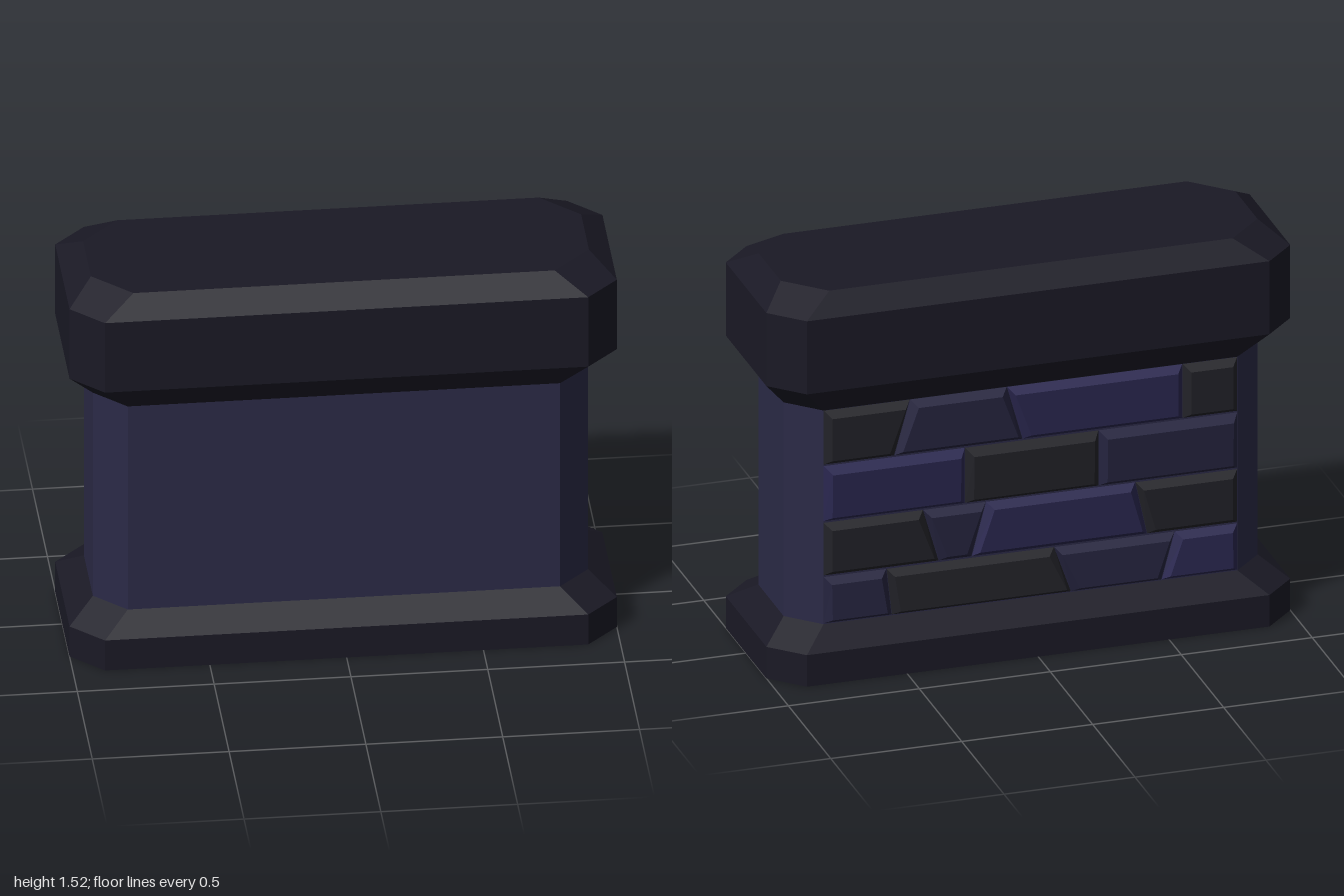
import * as THREE from 'three';

const mat = (color) => new THREE.MeshStandardMaterial({ color, flatShading: true });

// Build a flat-shaded geometry from quads and triangles given as corner lists
function facesGeometry(faces) {
  const pos = [];
  for (const f of faces) {
    for (let i = 1; i < f.length - 1; i++) pos.push(...f[0], ...f[i], ...f[i + 1]);
  }
  const g = new THREE.BufferGeometry();
  g.setAttribute('position', new THREE.Float32BufferAttribute(pos, 3));
  g.computeVertexNormals();
  return g;
}

// Rectangle with cut corners, counter-clockwise seen from below
function octagon([y, hx, hz, c]) {
  return [
    [hx, y, -hz + c], [hx, y, hz - c], [hx - c, y, hz], [-hx + c, y, hz],
    [-hx, y, hz - c], [-hx, y, -hz + c], [-hx + c, y, -hz], [hx - c, y, -hz],
  ];
}

// Stack of octagons joined by walls and closed at both ends
function loft(sections) {
  const rings = sections.map(octagon);
  const faces = [rings[0], [...rings[rings.length - 1]].reverse()];
  for (let r = 0; r < rings.length - 1; r++) {
    const a = rings[r], b = rings[r + 1];
    for (let i = 0; i < 8; i++) {
      const j = (i + 1) % 8;
      faces.push([a[j], a[i], b[i], b[j]]);
    }
  }
  return facesGeometry(faces);
}

// Brick on the back wall: x0 > x1 edges as [top, bottom], bevelled towards -z
function brick(x0, x1, yTop, yBot, zTop, zBot) {
  const wall = -0.264, side = 0.025;
  const o = [[x0[0], yTop, wall], [x1[0], yTop, wall], [x1[1], yBot, wall], [x0[1], yBot, wall]];
  const f = [
    [x0[0] - side, yTop - 0.026, zTop], [x1[0] + side, yTop - 0.026, zTop],
    [x1[1] + side, yBot + 0.022, zBot], [x0[1] - side, yBot + 0.022, zBot],
  ];
  const faces = [[...f].reverse()];
  for (let i = 0; i < 4; i++) {
    const j = (i + 1) % 4;
    faces.push([o[i], f[i], f[j], o[j]]);
  }
  return facesGeometry(faces);
}

export function createModel() {
  const group = new THREE.Group();
  const trim = mat(0x1a1925), body = mat(0x2b2a47);
  const bricks = { grey: mat(0x222228), navy: mat(0x25243f), blue: mat(0x2a2750) };

  const add = (name, geometry, material, parent = group) => {
    const m = new THREE.Mesh(geometry, material);
    m.name = name;
    parent.add(m);
  };

  // Plinth, wall and heavy coping
  add('base', loft([[0, 1, 0.357, 0.117], [0.125, 1, 0.357, 0.117], [0.197, 0.905, 0.265, 0.115]]), trim);
  add('wall', loft([[0.19, 0.905, 0.265, 0.115], [1.05, 0.905, 0.265, 0.115]]), body);
  add('coping', loft([
    [1.045, 0.905, 0.265, 0.115], [1.16, 1, 0.357, 0.117],
    [1.45, 1, 0.357, 0.117], [1.52, 0.91, 0.27, 0.14],
  ]), trim);

  // Brick courses on the back, joints listed from +x to -x as [top, bottom]
  const L = [0.79, 0.79], R = [-0.79, -0.79];
  const courses = [
    { y: [1.045, 0.83], z: [-0.294, -0.294], joints: [L, [0.46, 0.52], [0.09, 0.03], [-0.58, -0.58], R],
      kinds: ['grey', 'navy', 'blue', 'grey'] },
    { y: [0.825, 0.605], z: [-0.302, -0.296], joints: [L, [0.25, 0.25], [-0.26, -0.26], R],
      kinds: ['blue', 'grey', 'navy'] },
    { y: [0.6, 0.39], z: [-0.292, -0.292], joints: [L, [0.41, 0.35], [0.17, 0.225], [-0.4, -0.445], R],
      kinds: ['grey', 'navy', 'blue', 'grey'] },
    { y: [0.385, 0.2], z: [-0.29, -0.298], joints: [L, [0.55, 0.53], [-0.09, -0.155], [-0.55, -0.5], R],
      kinds: ['navy', 'grey', 'navy', 'blue'] },
  ];
  const brickwork = new THREE.Group();
  brickwork.name = 'brickwork';
  for (const { y, z, joints, kinds } of courses) {
    kinds.forEach((kind, i) => {
      add('brick', brick(joints[i], joints[i + 1], ...y, ...z), bricks[kind], brickwork);
    });
  }
  group.add(brickwork);
  return group;
}
